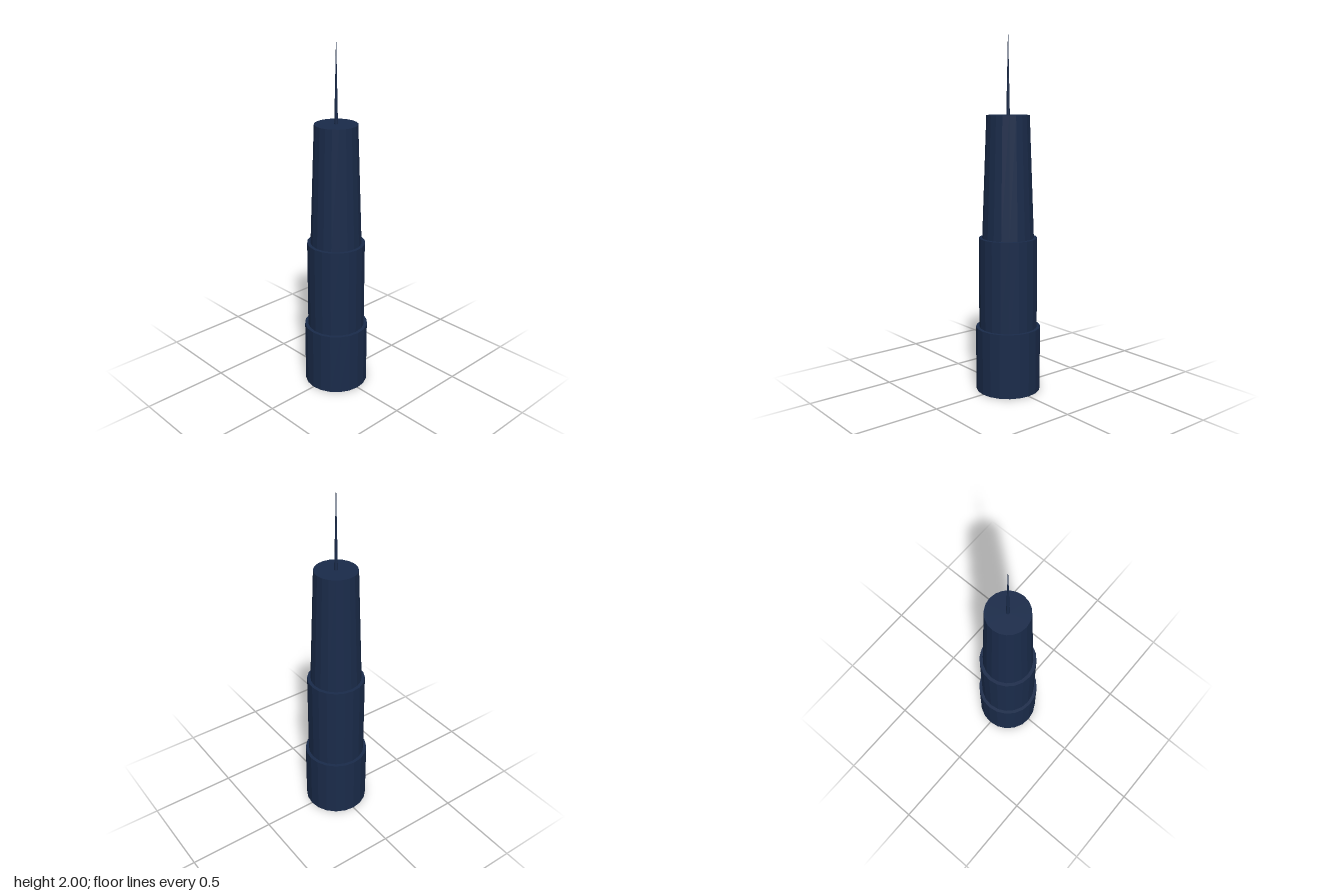
import * as THREE from 'three';

export function createModel() {
  const model = new THREE.Group();
  model.name = 'tower';
  const material = new THREE.MeshStandardMaterial({ color: 0x1a2b4a, flatShading: true });

  // Each tier stands on the one below: name, bottom radius, top radius, bottom y, top y, sides
  const tiers = [
    ['baseTier', 0.184, 0.184, 0, 0.37, 20],
    ['middleTier', 0.165, 0.165, 0.37, 0.885, 20],
    ['taperedUpperTier', 0.146, 0.12, 0.885, 1.57, 20],
    ['spire', 0.01, 0.001, 1.57, 2, 8],
  ];
  for (const [name, bottom, top, y0, y1, sides] of tiers) {
    const tier = new THREE.Mesh(new THREE.CylinderGeometry(top, bottom, y1 - y0, sides), material);
    tier.name = name;
    tier.position.y = (y0 + y1) / 2;
    model.add(tier);
  }
  return model;
}
